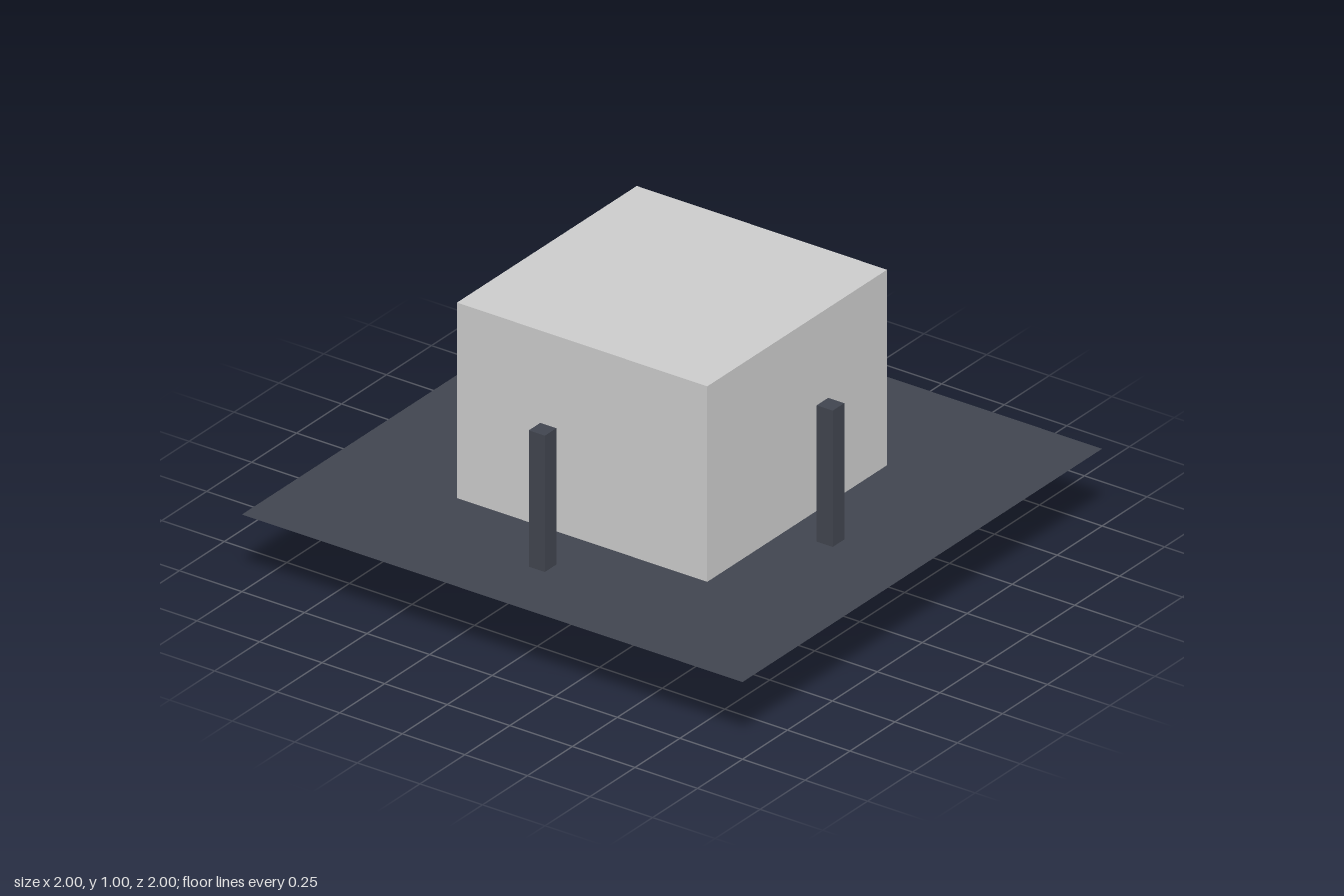
import * as THREE from 'three';

export function createModel() {
  const model = new THREE.Group();
  model.name = 'blockWithPosts';

  const paleGrey = new THREE.MeshStandardMaterial({ color: 0xcccccc });
  paleGrey.name = 'paleGrey';
  const slate = new THREE.MeshStandardMaterial({ color: 0x41454f, side: THREE.DoubleSide });
  slate.name = 'slate';

  const groundY = 0.283;

  function add(name, geometry, material, x, y, z) {
    const mesh = new THREE.Mesh(geometry, material);
    mesh.name = name;
    mesh.position.set(x, y, z);
    model.add(mesh);
  }

  // Large block, partly sunk below the slab
  add('block', new THREE.BoxGeometry(1, 1, 1), paleGrey, 0, 0.5, 0);

  // Flat sheet around the block
  add('groundSheet', new THREE.PlaneGeometry(2, 2).rotateX(-Math.PI / 2), slate, 0, groundY, 0);

  // One slim post beside each face of the block
  const postHeight = 0.5;
  const postGeometry = new THREE.BoxGeometry(0.064, postHeight, 0.064);
  const posts = {
    frontPost: [-0.033, 0.657],
    backPost: [0.06, -0.687],
    leftPost: [0.685, 0],
    rightPost: [-0.72, 0],
  };
  for (const [name, [x, z]] of Object.entries(posts)) {
    add(name, postGeometry, slate, x, groundY + postHeight / 2, z);
  }

  return model;
}
